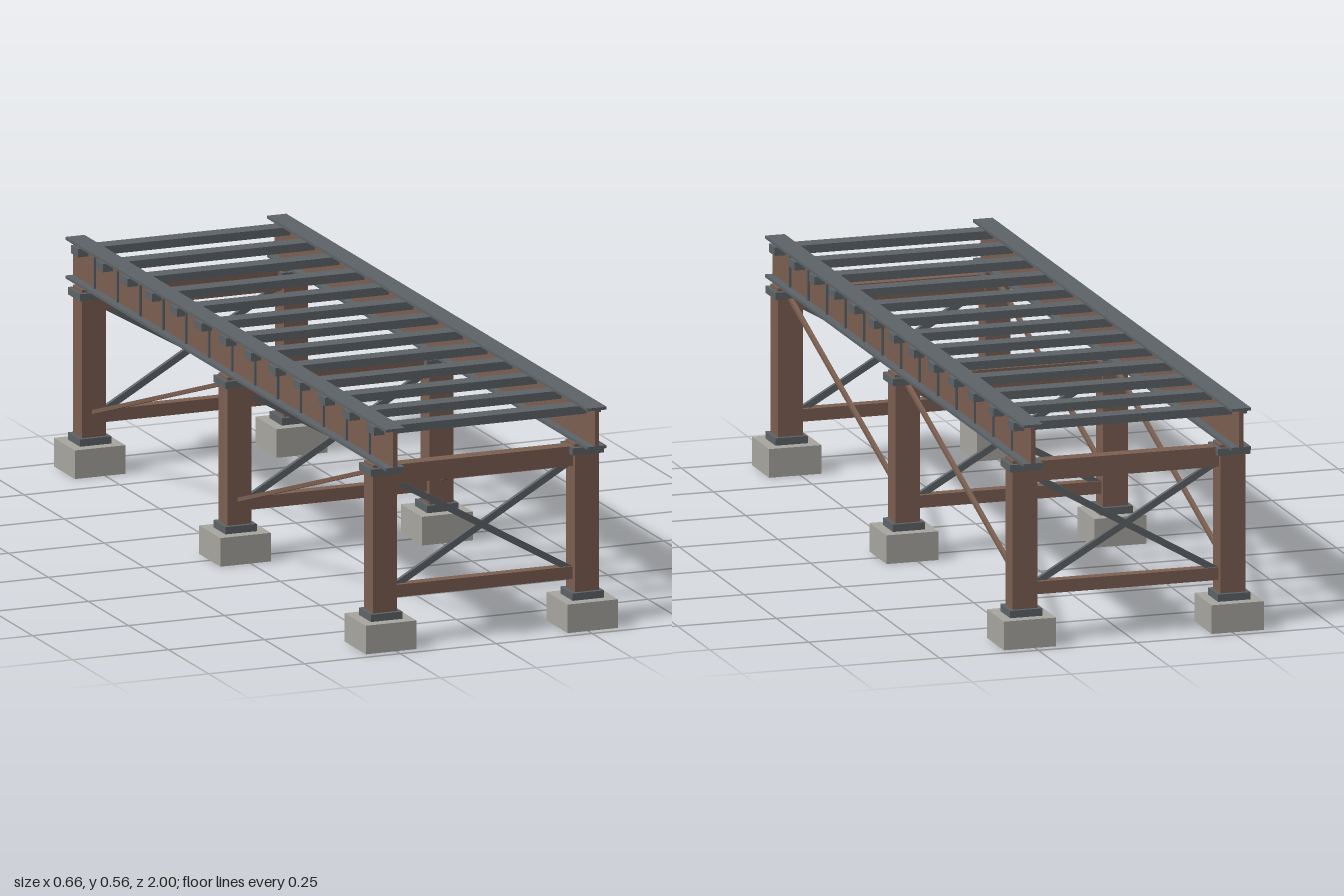
import * as THREE from 'three';

const mat = (name, color) => new THREE.MeshStandardMaterial({ name, color });

export function createModel() {
  const rust = mat('rusted steel', 0x7c5f52);
  const steel = mat('grey steel', 0x5e6468);
  const concrete = mat('concrete', 0xa9a7a1);
  const model = new THREE.Group();
  model.name = 'trestle';

  // Box given by its centre in x and z, and its bottom and top
  function block(parent, name, material, x, z, y0, y1, w, d) {
    const mesh = new THREE.Mesh(new THREE.BoxGeometry(w, y1 - y0, d), material);
    mesh.position.set(x, (y0 + y1) / 2, z);
    mesh.name = name;
    parent.add(mesh);
    return mesh;
  }

  // Straight bar of rectangular section between two points
  function bar(parent, name, material, a, b, w, h) {
    const from = new THREE.Vector3(...a), to = new THREE.Vector3(...b);
    const mesh = new THREE.Mesh(new THREE.BoxGeometry(w, h, from.distanceTo(to)), material);
    mesh.position.copy(from).add(to).multiplyScalar(0.5);
    mesh.lookAt(to);
    mesh.name = name;
    parent.add(mesh);
  }

  const railX = 0.263;
  const bentZ = [0.908, 0, -0.908];

  // Support bents: two columns, two beams and a cross brace
  for (const z of bentZ) {
    const bent = new THREE.Group();
    bent.name = 'bent';
    model.add(bent);
    for (const s of [-1, 1]) {
      const x = s * railX;
      block(bent, 'footing', concrete, x, z, 0, 0.071, 0.132, 0.132);
      block(bent, 'basePlate', steel, x, z, 0.071, 0.089, 0.082, 0.076);
      block(bent, 'column', rust, x, z, 0.089, 0.432, 0.063, 0.056);
      block(bent, 'capPlate', steel, x, z, 0.432, 0.45, 0.082, 0.076);
      block(bent, 'bearing', rust, x, z, 0.45, 0.457, 0.064, 0.056);
      bar(bent, 'crossBrace', steel, [-0.235, 0.275 + s * 0.136, z + s * 0.003],
        [0.235, 0.275 - s * 0.136, z + s * 0.003], 0.011, 0.016);
    }
    block(bent, 'topBeam', rust, 0, z, 0.401, 0.45, 0.464, 0.036);
    block(bent, 'bottomBeam', rust, 0, z, 0.119, 0.15, 0.464, 0.028);
  }

  // Long girders of I section with outer stiffeners, and diagonal side rods
  for (const s of [-1, 1]) {
    const girder = new THREE.Group();
    girder.name = 'girder';
    model.add(girder);
    const x = s * railX;
    block(girder, 'bottomFlange', steel, x, 0, 0.457, 0.464, 0.05, 2);
    block(girder, 'web', rust, x, 0, 0.464, 0.553, 0.011, 2);
    block(girder, 'topFlange', steel, x, 0, 0.553, 0.56, 0.05, 2);
    for (let i = -6; i <= 6; i++)
      block(girder, 'stiffener', steel, x + s * 0.008, i * 0.143, 0.464, 0.553, 0.006, 0.006);
    for (let i = 0; i < 2; i++)
      bar(model, 'sideRod', rust, [x, 0.432, bentZ[i] - 0.024],
        [x, 0.15, bentZ[i + 1] + 0.024], 0.01, 0.01);
  }

  // Cross ties set just under the top flanges
  for (let i = -6; i <= 6; i++)
    block(model, 'tie', steel, 0, i * 0.154, 0.533, 0.5535, 0.591, 0.044);

  return model;
}
